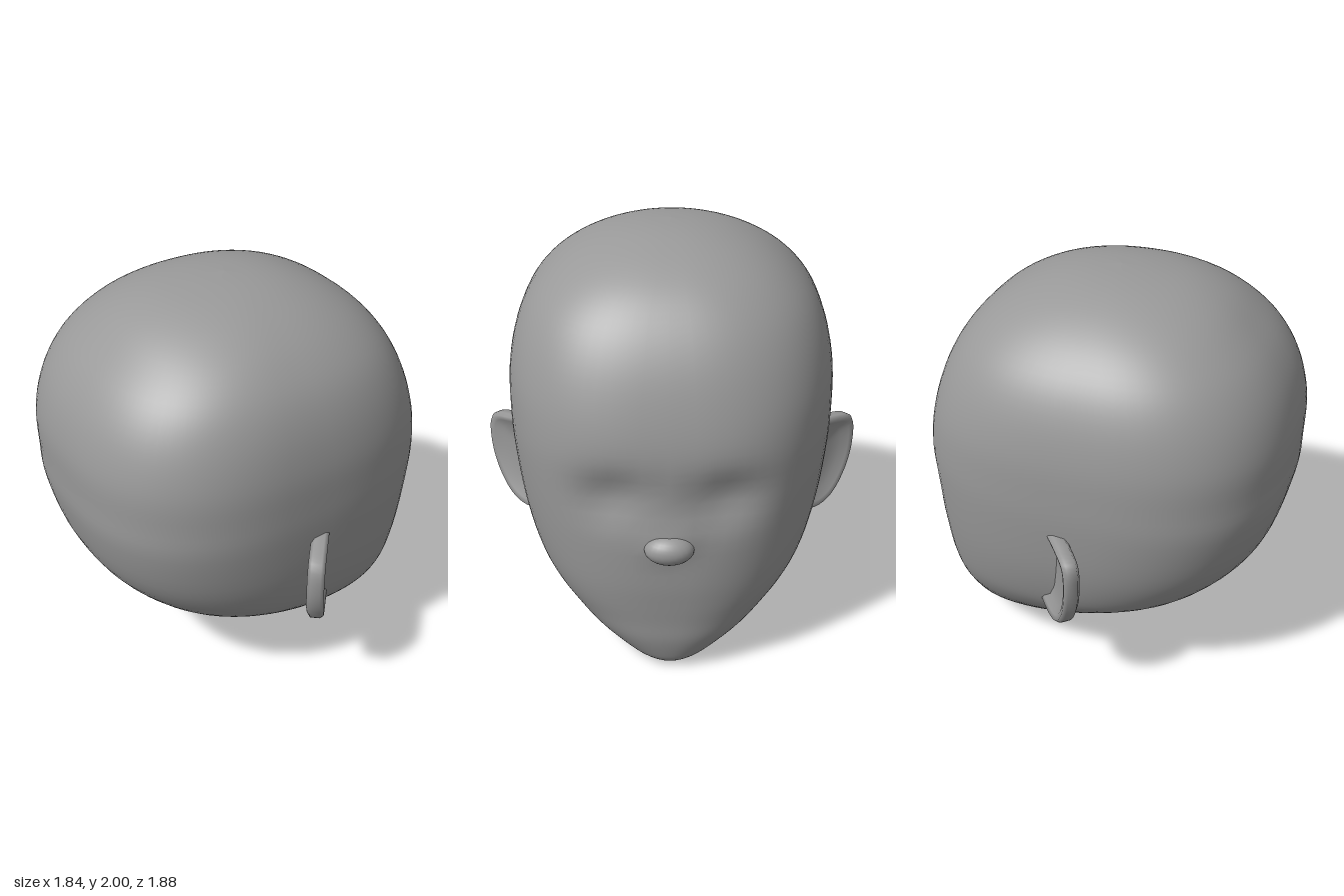
import * as THREE from 'three';

const material = new THREE.MeshStandardMaterial({ color: 0x999999 });

// Skin a list of closed loops (arrays of Vector3, same length) with smooth normals.
function loft(loops) {
  const n = loops[0].length;
  const index = [];
  for (let k = 0; k < loops.length - 1; k++) {
    for (let j = 0; j < n; j++) {
      const a = k * n + j, b = k * n + (j + 1) % n;
      index.push(a, a + n, b, b, a + n, b + n);
    }
  }
  const geometry = new THREE.BufferGeometry().setFromPoints(loops.flat());
  geometry.setIndex(index);
  geometry.computeVertexNormals();
  return geometry;
}

function addMesh(parent, name, geometry) {
  const mesh = new THREE.Mesh(geometry, material);
  mesh.name = name;
  parent.add(mesh);
  return mesh;
}

// Skull sections: height, back x, front x, half width, x of the widest point, squareness
const sections = [
  [0.0, 0.58, 0.58, 0.0, 0.58, 2],
  [0.012, 0.38, 0.685, 0.1, 0.55, 2],
  [0.045, 0.22, 0.735, 0.19, 0.5, 2.05],
  [0.1, 0.06, 0.762, 0.285, 0.44, 2.1],
  [0.19, -0.1, 0.788, 0.405, 0.36, 2.2],
  [0.29, -0.27, 0.8, 0.51, 0.26, 2.3],
  [0.4, -0.48, 0.815, 0.605, 0.15, 2.4],
  [0.53, -0.67, 0.83, 0.68, 0.04, 2.45],
  [0.74, -0.83, 0.84, 0.74, -0.05, 2.55],
  [1.0, -0.908, 0.85, 0.775, -0.1, 2.65],
  [1.18, -0.92, 0.848, 0.783, -0.1, 2.65],
  [1.36, -0.918, 0.812, 0.778, -0.1, 2.65],
  [1.54, -0.872, 0.75, 0.742, -0.1, 2.6],
  [1.69, -0.785, 0.665, 0.675, -0.1, 2.55],
  [1.81, -0.665, 0.555, 0.57, -0.1, 2.45],
  [1.9, -0.54, 0.415, 0.44, -0.08, 2.3],
  [1.96, -0.39, 0.265, 0.295, -0.07, 2.15],
  [1.99, -0.21, 0.12, 0.15, -0.05, 2.05],
  [2.0, -0.04, -0.04, 0.0, -0.04, 2],
];

const bump = (d, size) => Math.exp(-((d / size) ** 2));

function headGeometry() {
  const curve = (i) => new THREE.CatmullRomCurve3(
    sections.map((s) => new THREE.Vector3(s[i], s[i + 1], s[i + 2])), false, 'catmullrom', 0.5);
  const outline = curve(0), fullness = curve(3);
  const rows = 72, around = 80, loops = [];
  for (let r = 0; r <= rows; r++) {
    const { x: y, y: back, z: front } = outline.getPoint(r / rows);
    const { x: width, y: centre, z: squareness } = fullness.getPoint(r / rows);
    const loop = [];
    for (let j = 0; j < around; j++) {
      const a = (j / around) * Math.PI * 2;
      const c = Math.cos(a), s = Math.sin(a);
      const reach = c > 0 ? front - centre : centre - back;
      // the back of the skull is rounder than the face
      const power = squareness + (c > 0 ? 0.05 : -0.15);
      const z = width * Math.sign(s) * Math.abs(s) ** (2 / power);
      let x = centre + reach * Math.sign(c) * Math.abs(c) ** (2 / power);
      if (c > 0) {
        // eye sockets, then the swelling that carries the nose
        x -= 0.055 * bump(Math.abs(z) - 0.25, 0.16) * bump(y - 0.96, 0.12);
        x += 0.03 * bump(z, 0.09) * bump(y - 0.75, 0.075);
      }
      loop.push(new THREE.Vector3(x, y, z));
    }
    loops.push(loop);
  }
  return loft(loops);
}

// Ear: a thick leaf angled backwards with a dished front; side is +1 or -1 in z
function earGeometry(side) {
  const rim = new THREE.CatmullRomCurve3([
    [-0.22, 0.55], [-0.04, 0.495], [0.08, 0.53], [0.18, 0.65], [0.228, 0.8],
    [0.215, 0.94], [0.11, 0.978], [-0.14, 0.97], [-0.22, 0.8],
  ].map(([s, y]) => new THREE.Vector3(s, y, 0)), true).getPoints(45).slice(0, -1);
  const centre = new THREE.Vector3(-0.03, 0.76, 0);
  // scale of the rim outline, offset through the thickness (back to front)
  const steps = [[0, -0.045], [0.6, -0.045], [0.9, -0.042], [1, -0.025], [1, 0.02],
    [0.95, 0.038], [0.85, 0.032], [0.7, 0.01], [0.4, 0], [0, 0]];
  return loft(steps.map(([scale, t]) => {
    const loop = rim.map((p) => {
      const q = centre.clone().lerp(p, scale);
      return new THREE.Vector3(-0.66 * q.x + 0.75 * t, q.y, side * (0.75 + 0.75 * q.x + 0.66 * t));
    });
    return side > 0 ? loop : loop.reverse();
  }));
}

export function createModel() {
  const model = new THREE.Group();
  model.name = 'head';

  addMesh(model, 'skull', headGeometry());

  // Small button nose
  const nose = addMesh(model, 'nose', new THREE.SphereGeometry(1, 24, 16));
  nose.scale.set(0.075, 0.07, 0.112);
  nose.position.set(0.841, 0.725, 0);

  addMesh(model, 'earPositiveZ', earGeometry(1));
  addMesh(model, 'earNegativeZ', earGeometry(-1));
  return model;
}
